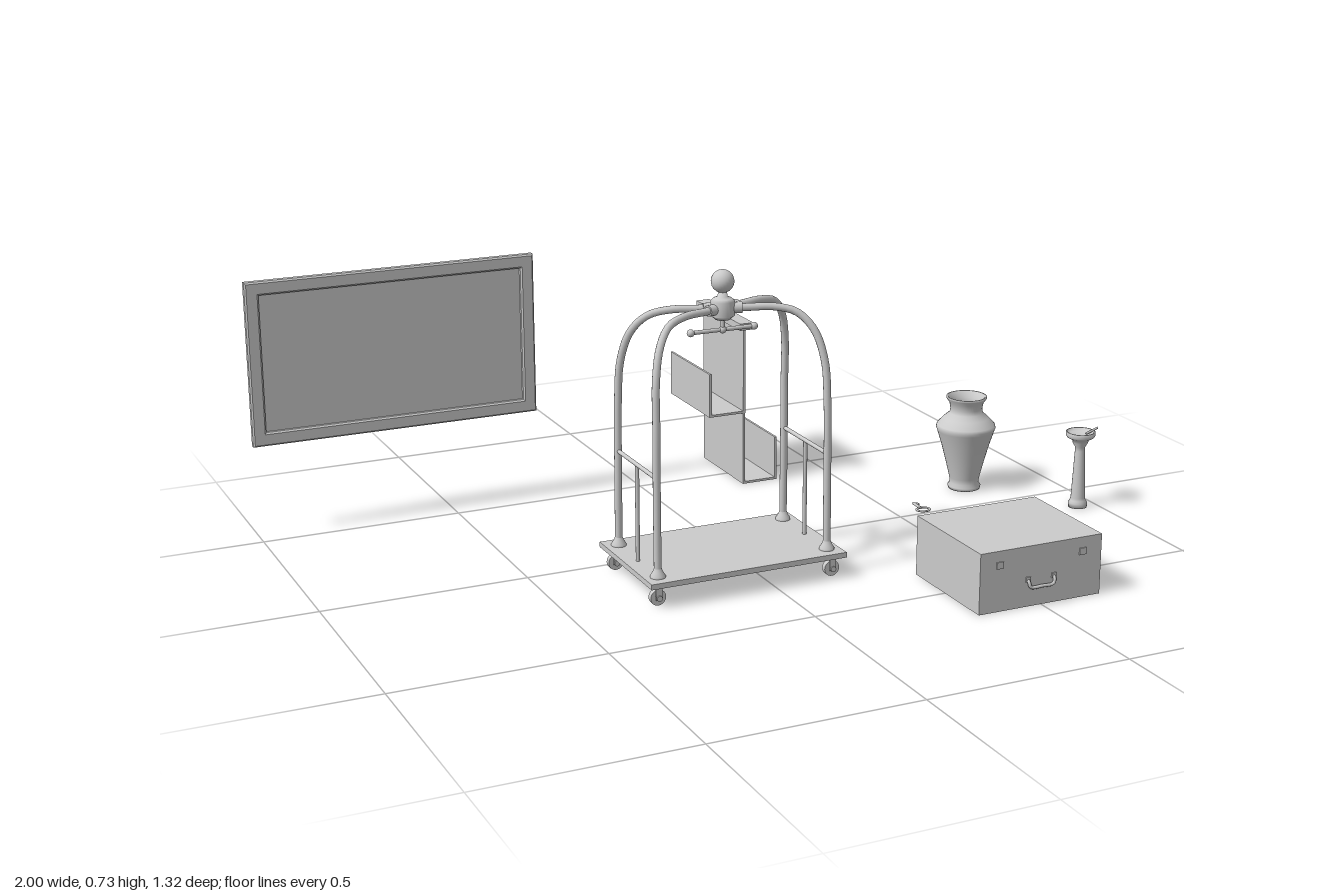
import * as THREE from 'three';

const mat = new THREE.MeshStandardMaterial({ color: 0xcccccc });
const matDouble = new THREE.MeshStandardMaterial({ color: 0xcccccc, side: THREE.DoubleSide });
const V = (x, y, z) => new THREE.Vector3(x, y, z);

function add(parent, name, geo, x = 0, y = 0, z = 0, material = mat) {
  const mesh = new THREE.Mesh(geo, material);
  mesh.name = name;
  mesh.position.set(x, y, z);
  parent.add(mesh);
  return mesh;
}

function group(parent, name, x = 0, y = 0, z = 0) {
  const g = new THREE.Group();
  g.name = name;
  g.position.set(x, y, z);
  parent.add(g);
  return g;
}

const box = (w, h, d) => new THREE.BoxGeometry(w, h, d);

// Box given by its min and max corners
function block(parent, name, x0, x1, y0, y1, z0, z1) {
  return add(parent, name, box(x1 - x0, y1 - y0, z1 - z0), (x0 + x1) / 2, (y0 + y1) / 2, (z0 + z1) / 2);
}

// Straight round bar between two points
function rod(parent, name, a, b, r, sides = 12) {
  const dir = b.clone().sub(a);
  const mesh = add(parent, name, new THREE.CylinderGeometry(r, r, dir.length(), sides));
  mesh.position.copy(a).add(b).multiplyScalar(0.5);
  mesh.quaternion.setFromUnitVectors(V(0, 1, 0), dir.normalize());
  return mesh;
}

const lathe = (pts, sides = 32) =>
  new THREE.LatheGeometry(pts.map(([r, y]) => new THREE.Vector2(r, y)), sides);

// Luggage cart with four arched tubes meeting at a finial
function luggageCart(root) {
  const cart = group(root, 'luggageCart', -0.07, 0, 0.159);
  add(cart, 'platform', box(0.497, 0.013, 0.31), 0, 0.056, 0);
  for (const sx of [-1, 1]) {
    for (const sz of [-1, 1]) {
      const path = new THREE.CatmullRomCurve3([
        [0.216, 0.06, 0.115], [0.216, 0.25, 0.113], [0.215, 0.42, 0.111], [0.211, 0.52, 0.102],
        [0.193, 0.59, 0.083], [0.16, 0.63, 0.058], [0.11, 0.643, 0.036], [0.06, 0.643, 0.019], [0, 0.643, 0.004],
      ].map(([x, y, z]) => V(x * sx, y, z * sz)));
      add(cart, 'archTube', new THREE.TubeGeometry(path, 48, 0.009, 12));
      add(cart, 'postFoot', lathe([[0.018, 0], [0.018, 0.005], [0.012, 0.014], [0.009, 0.022]], 16),
        0.216 * sx, 0.062, 0.115 * sz);

      const caster = group(cart, 'caster', 0.222 * sx, 0, 0.125 * sz);
      add(caster, 'wheel', new THREE.CylinderGeometry(0.019, 0.019, 0.013, 24), 0, 0.019, 0).rotation.x = Math.PI / 2;
      add(caster, 'hub', new THREE.CylinderGeometry(0.007, 0.007, 0.032, 12), 0, 0.019, 0).rotation.x = Math.PI / 2;
      for (const s of [-1, 1]) add(caster, 'fork', box(0.016, 0.03, 0.003), 0, 0.03, 0.011 * s);
      add(caster, 'forkTop', box(0.022, 0.006, 0.026), 0, 0.046, 0);
    }
    // End rail and its upright
    rod(cart, 'endRail', V(0.216 * sx, 0.297, -0.113), V(0.216 * sx, 0.297, 0.113), 0.005);
    rod(cart, 'endUpright', V(0.216 * sx, 0.06, 0), V(0.216 * sx, 0.297, 0), 0.005);
  }
  // Finial hub, ball and hanging bar
  add(cart, 'hub', lathe([[0, 0.617], [0.018, 0.617], [0.024, 0.623], [0.028, 0.626], [0.028, 0.66],
    [0.022, 0.666], [0.012, 0.67], [0.01, 0.68], [0, 0.683]], 24));
  for (let i = 0; i < 4; i++) {
    const a = Math.atan2(0.019, 0.06);
    const sleeve = group(cart, 'sleeve');
    sleeve.rotation.y = (i < 2 ? 0 : Math.PI) + (i % 2 ? a : -a);
    add(sleeve, 'sleeveRing', new THREE.CylinderGeometry(0.013, 0.013, 0.04, 16), 0.025, 0.643, 0).rotation.z = Math.PI / 2;
  }
  add(cart, 'finialBall', new THREE.SphereGeometry(0.027, 24, 16), 0, 0.706, 0);
  rod(cart, 'hangerStem', V(0, 0.592, 0), V(0, 0.62, 0), 0.006);
  rod(cart, 'hangerBar', V(-0.08, 0.592, 0), V(0.08, 0.592, 0), 0.005);
  for (const x of [-0.08, 0, 0.08]) add(cart, 'hangerKnob', new THREE.SphereGeometry(0.009, 16, 12), x, 0.592, 0);
}

// Wide framed board, recessed on the front
function wallFrame(root) {
  const g = group(root, 'framedBoard', -0.633, 0.434, -0.555);
  const w = 0.367, h = 0.206, t = 0.03;
  const rect = (C, a, b) => {
    const s = new C();
    s.moveTo(-a, -b); s.lineTo(a, -b); s.lineTo(a, b); s.lineTo(-a, b); s.closePath();
    return s;
  };
  const ring = rect(THREE.Shape, w - 0.004, h - 0.004);
  ring.holes.push(rect(THREE.Path, w - t, h - t));
  const geo = new THREE.ExtrudeGeometry(ring, {
    depth: 0.014, bevelEnabled: true, bevelThickness: 0.004, bevelSize: 0.004, bevelSegments: 1,
  });
  add(g, 'frame', geo, 0, 0, -0.007);
  add(g, 'panel', box(2 * w - 0.012, 2 * h - 0.012, 0.01), 0, 0, -0.006);
}

// Two-sided rack: lower tray to the left, upper tray to the right
function rack(root) {
  const g = group(root, 'rack');
  const z0 = -0.648, z1 = -0.402, t = 0.006;
  block(g, 'backPanel', 0.252, 0.258, 0, 0.425, z0, z1);
  block(g, 'topRail', 0.236, 0.274, 0.421, 0.439, -0.66, -0.388);
  block(g, 'lowerShelf', 0.252, 0.35, 0, t, z0, z1);
  block(g, 'lowerLip', 0.35 - t, 0.35, 0, 0.117, z0, z1);
  block(g, 'upperShelf', 0.156, 0.255, 0.194, 0.194 + t, z0, z1);
  block(g, 'upperLip', 0.156, 0.156 + t, 0.194, 0.31, z0, z1);
}

// Suitcase with handle, latches and hinges
function suitcase(root) {
  const g = group(root, 'suitcase', 0.497, 0, 0.508);
  add(g, 'body', box(0.322, 0.146, 0.284), 0, 0.073, 0);
  const handle = new THREE.CatmullRomCurve3([[-0.034, 0.066, 0.14], [-0.034, 0.06, 0.147], [-0.03, 0.049, 0.149],
    [0, 0.048, 0.15], [0.03, 0.049, 0.149], [0.034, 0.06, 0.147], [0.034, 0.066, 0.14]].map(p => V(...p)));
  add(g, 'handle', new THREE.TubeGeometry(handle, 32, 0.004, 8));
  for (const s of [-1, 1]) {
    add(g, 'handleMount', box(0.012, 0.012, 0.004), 0.034 * s, 0.066, 0.143);
    add(g, 'latch', box(0.018, 0.016, 0.004), 0.11 * s, 0.112, 0.143);
  }
  for (const x of [-0.09, 0.07, 0.13]) add(g, 'hinge', box(0.018, 0.018, 0.005), x, 0.113, -0.143);
}

// Vase with a hollow neck
function vase(root) {
  const profile = [[0, 0], [0.041, 0], [0.043, 0.008], [0.037, 0.016], [0.039, 0.03], [0.05, 0.075], [0.062, 0.12],
    [0.074, 0.158], [0.077, 0.166], [0.075, 0.174], [0.058, 0.192], [0.043, 0.205], [0.041, 0.217], [0.044, 0.233],
    [0.052, 0.244], [0.052, 0.249], [0.048, 0.249], [0.038, 0.233], [0.033, 0.215], [0.04, 0.2], [0, 0.17]];
  add(root, 'vase', lathe(profile, 40), 0.765, 0, -0.135, matDouble);
}

// Pedestal ashtray with a cigarette
function ashtray(root) {
  const g = group(root, 'ashtrayStand', 0.95, 0, 0.118);
  const profile = [[0, 0], [0.024, 0], [0.024, 0.012], [0.02, 0.018], [0.018, 0.025], [0.0125, 0.15], [0.013, 0.16],
    [0.02, 0.172], [0.02, 0.178], [0.034, 0.186], [0.037, 0.19], [0.037, 0.2], [0.033, 0.2], [0.03, 0.192], [0, 0.19]];
  add(g, 'stand', lathe(profile, 32), 0, 0, 0, matDouble);
  rod(g, 'cigarette', V(0.012, 0.194, 0.006), V(0.045, 0.206, 0.008), 0.003, 8);
}

// Small key lying level
function key(root) {
  const g = group(root, 'key', 0.461, 0.083, 0.178);
  const bow = add(g, 'keyBow', new THREE.TorusGeometry(0.014, 0.0025, 8, 24));
  bow.rotation.x = Math.PI / 2;
  bow.scale.x = 1.2;
  rod(g, 'keyShaft', V(0, 0, -0.012), V(0.001, 0, -0.05), 0.0035, 8);
  add(g, 'keyBit', box(0.01, 0.004, 0.012), 0.005, 0, -0.042);
}

export function createModel() {
  const root = new THREE.Group();
  root.name = 'hotelLobbySet';
  for (const build of [luggageCart, wallFrame, rack, suitcase, vase, ashtray, key]) build(root);
  return root;
}
